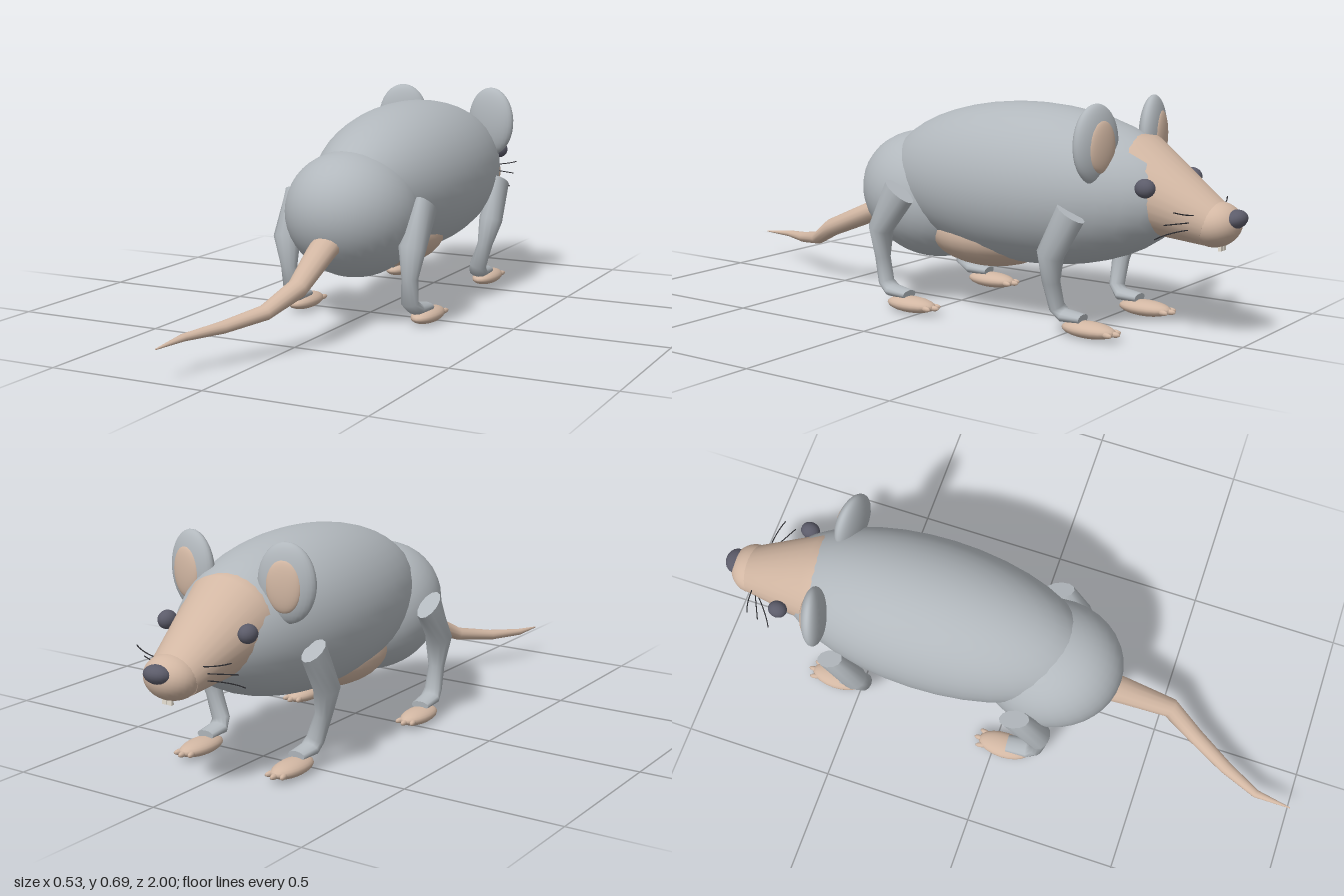
import * as THREE from 'three';

const mat = (name, color, side = THREE.FrontSide) =>
  Object.assign(new THREE.MeshStandardMaterial({ color, side }), { name });

export function createModel() {
  const fur = mat('grey fur', 0xb2b8bd);
  const skin = mat('pale skin', 0xd2b7a3);
  const dark = mat('dark slate', 0x5c5c6a);
  const black = mat('whisker black', 0x2c2c30);
  const ivory = mat('ivory', 0xe9e2d4);
  const root = new THREE.Group();
  root.name = 'rodent';

  const add = (name, geo, material, parent = root) => {
    const m = new THREE.Mesh(geo, material);
    m.name = name;
    parent.add(m);
    return m;
  };

  const ellipsoid = (name, material, pos, r, rot = [0, 0, 0], parent = root, seg = 28) => {
    const m = add(name, new THREE.SphereGeometry(1, seg, Math.round(seg * 0.6)), material, parent);
    m.position.set(...pos);
    m.scale.set(...r);
    m.rotation.set(...rot);
    return m;
  };

  // Capped tube through stations [x, y, z, sideways radius, other radius]
  const loft = (stations, n = 16) => {
    const P = stations.map(s => new THREE.Vector3(s[0], s[1], s[2]));
    const pos = [], idx = [], rings = [];
    P.forEach((p, i) => {
      const T = P[Math.min(i + 1, P.length - 1)].clone().sub(P[Math.max(i - 1, 0)]).normalize();
      const U = new THREE.Vector3(1, 0, 0).addScaledVector(T, -T.x).normalize();
      const V = T.clone().cross(U);
      const ring = [];
      for (let j = 0; j < n; j++) {
        const a = (j / n) * Math.PI * 2;
        ring.push(p.clone()
          .addScaledVector(U, Math.cos(a) * stations[i][3])
          .addScaledVector(V, Math.sin(a) * stations[i][4]));
      }
      rings.push(ring);
      ring.forEach(v => pos.push(v.x, v.y, v.z));
    });
    for (let i = 0; i < P.length - 1; i++) {
      for (let j = 0; j < n; j++) {
        const a = i * n + j, b = i * n + (j + 1) % n;
        idx.push(a, b, a + n, b, b + n, a + n);
      }
    }
    for (const end of [0, P.length - 1]) {
      const base = pos.length / 3;
      rings[end].forEach(v => pos.push(v.x, v.y, v.z));
      pos.push(P[end].x, P[end].y, P[end].z);
      for (let j = 0; j < n; j++) {
        const k = (j + 1) % n;
        if (end === 0) idx.push(base + n, base + k, base + j);
        else idx.push(base + n, base + j, base + k);
      }
    }
    const g = new THREE.BufferGeometry();
    g.setAttribute('position', new THREE.Float32BufferAttribute(pos, 3));
    g.setIndex(idx);
    g.computeVertexNormals();
    return g;
  };

  // Trunk
  ellipsoid('body', fur, [0.01, 0.42, -0.28], [0.245, 0.25, 0.53], [0, 0, 0], root, 36);
  ellipsoid('rump', fur, [0, 0.347, 0.12], [0.21, 0.2, 0.24], [-0.35, 0, 0], root, 36);
  ellipsoid('belly', skin, [0.01, 0.25, -0.13], [0.17, 0.11, 0.22]);

  // Head, muzzle and nose
  add('head', loft([
    [0, 0.475, -0.58, 0.14, 0.13],
    [0, 0.455, -0.635, 0.155, 0.149],
    [0, 0.35, -0.9, 0.083, 0.067],
  ], 28), skin);
  ellipsoid('muzzle', skin, [0, 0.352, -0.905], [0.083, 0.066, 0.075], [0.3, 0, 0]);
  ellipsoid('nose', dark, [0, 0.372, -0.963], [0.043, 0.028, 0.037], [0.3, 0, 0], root, 18);

  // Front teeth
  for (const x of [-0.009, 0.009]) {
    add('tooth', new THREE.BoxGeometry(0.015, 0.025, 0.01), ivory).position.set(x, 0.29, -0.925);
  }

  for (const s of [1, -1]) {
    // Eyes
    ellipsoid('eye', dark, [s * 0.145, 0.46, -0.75], [0.027, 0.028, 0.031], [0, 0, 0], root, 18);

    // Ears, turned slightly outward
    const ear = new THREE.Group();
    ear.name = 'ear';
    ear.position.set(s * 0.17, 0.578, -0.6);
    ear.rotation.y = -s * 0.2;
    root.add(ear);
    ellipsoid('earShell', fur, [0, 0, 0], [0.09, 0.118, 0.036], [0, 0, 0], ear);
    ellipsoid('innerEar', skin, [0, -0.005, -0.024], [0.055, 0.078, 0.018], [0, 0, 0], ear);

    // Whiskers
    for (const [y, z, dy] of [[0.385, -0.855, 0.02], [0.365, -0.825, 0], [0.345, -0.795, -0.025]]) {
      const curve = new THREE.QuadraticBezierCurve3(
        new THREE.Vector3(s * 0.07, y, -0.875),
        new THREE.Vector3(s * 0.13, y + dy * 0.3, z - 0.02),
        new THREE.Vector3(s * 0.17, y + dy, z));
      add('whisker', new THREE.TubeGeometry(curve, 6, 0.0018, 5), black);
    }

    // Legs
    add('frontLeg', loft([
      [s * 0.225, 0.378, -0.552, 0.03, 0.05],
      [s * 0.222, 0.25, -0.482, 0.04, 0.042],
      [s * 0.205, 0.165, -0.475, 0.026, 0.028],
      [s * 0.178, 0.085, -0.478, 0.03, 0.022],
      [s * 0.172, 0.06, -0.5, 0.034, 0.02],
      [s * 0.17, 0.056, -0.565, 0.03, 0.014],
    ], 12), fur);
    add('hindLeg', loft([
      [s * 0.232, 0.385, 0.073, 0.03, 0.06],
      [s * 0.222, 0.26, 0.155, 0.045, 0.038],
      [s * 0.215, 0.165, 0.155, 0.027, 0.024],
      [s * 0.21, 0.085, 0.145, 0.03, 0.022],
      [s * 0.216, 0.062, 0.115, 0.034, 0.02],
      [s * 0.22, 0.056, 0.045, 0.03, 0.014],
    ], 12), fur);

    // Feet with three toes each
    for (const [name, x, z] of [['frontFoot', 0.17, -0.585], ['hindFoot', 0.222, 0.035]]) {
      ellipsoid(name, skin, [s * x, 0.027, z], [0.044, 0.025, 0.09], [0, 0, 0], root, 20);
      for (const t of [-1, 0, 1]) {
        ellipsoid('toe', skin, [s * x + t * 0.023, 0.025, z - 0.085 + Math.abs(t) * 0.012],
          [0.009, 0.009, 0.022], [0, -t * 0.25, 0], root, 10);
      }
    }
  }

  // Tail, bending to one side
  add('tail', loft([
    [0.004, 0.285, 0.29, 0.05, 0.037],
    [0.012, 0.262, 0.36, 0.046, 0.035],
    [0.028, 0.19, 0.53, 0.033, 0.03],
    [-0.02, 0.135, 0.635, 0.027, 0.022],
    [-0.085, 0.112, 0.76, 0.022, 0.018],
    [-0.138, 0.104, 0.88, 0.014, 0.011],
    [-0.147, 0.098, 1, 0.002, 0.002],
  ], 14), skin);

  return root;
}
